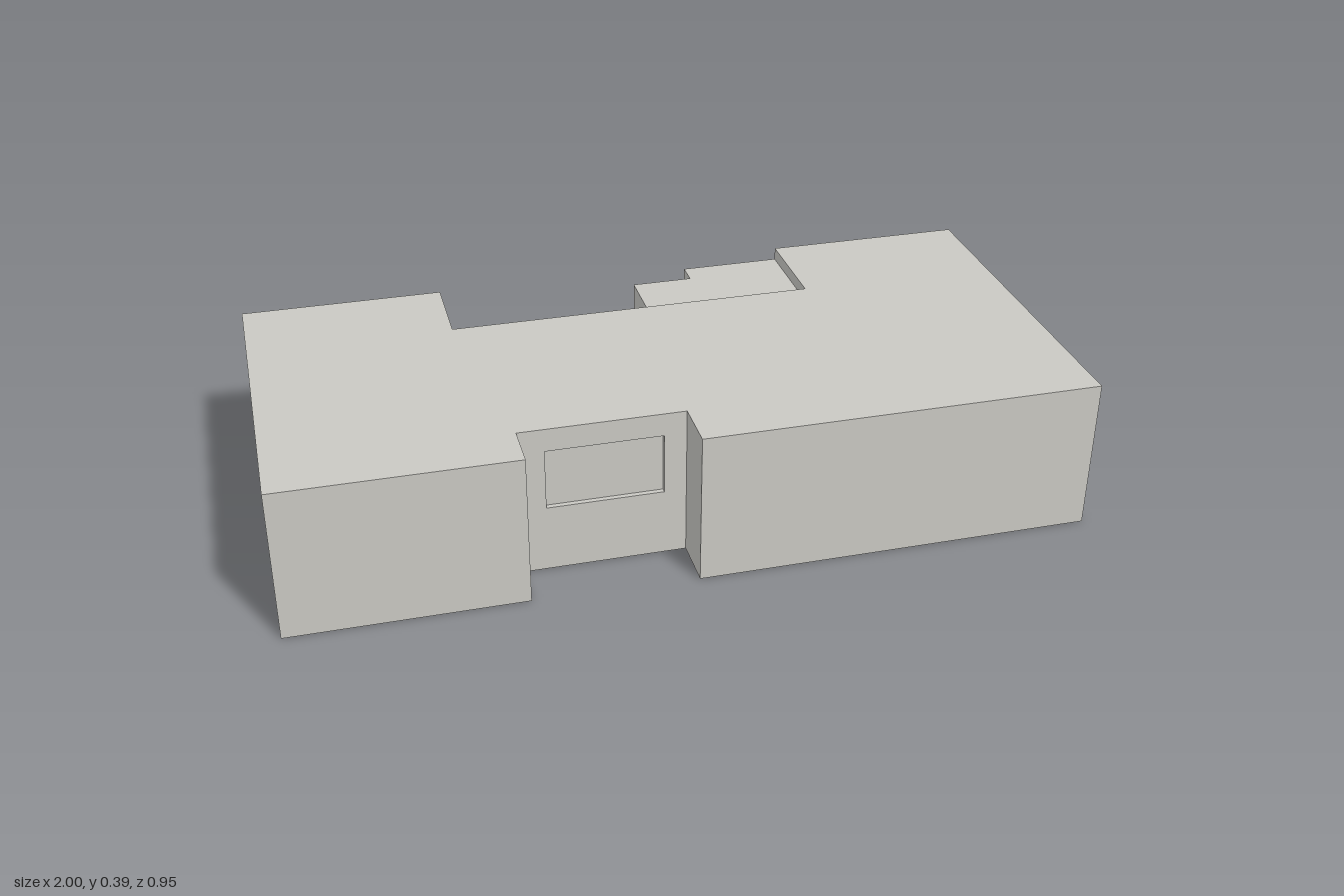
import * as THREE from 'three';

const HEIGHT = 0.393, LOW = 0.36, DEPTH = 0.013;

// Footprint corners (x, z), walked so that each wall faces outwards
const MAIN = [
  [-1, 0.46], [-0.415, 0.46], [-0.415, 0.34], [-0.005, 0.34], [-0.005, 0.473], [1, 0.473],
  [1, -0.477], [0.475, -0.477], [0.475, -0.212], [-0.48, -0.212], [-0.48, -0.435], [-1, -0.435],
];
const ANNEX = [
  [0.05, -0.212], [0.475, -0.212], [0.475, -0.477], [0.21, -0.477], [0.21, -0.415], [0.05, -0.415],
];

// Recessed openings by wall index: start and end along the wall's axis, bottom, top
const OPENINGS = {
  1: [['sideWindow', 0.447, 0.385, 0.17, 0.325]],
  2: [['entranceWindow', -0.35, -0.06, 0.175, 0.333]],
  5: [['frontWindow', 0.305, 0.09, 0.12, 0.37], ['backWindow', -0.143, -0.403, 0.107, 0.36]],
  8: [['middleDoor', 0.045, -0.055, 0.01, 0.315], ['cornerDoor', -0.36, -0.473, 0.01, 0.3]],
  11: [['wideWindow', -0.42, 0.275, 0.125, 0.36]],
};

export function createModel() {
  const plaster = new THREE.MeshStandardMaterial({ color: 0xc9c8c3 });
  plaster.name = 'plaster';
  const model = new THREE.Group();
  model.name = 'building';

  const add = (parent, name, geometry) => {
    const mesh = new THREE.Mesh(geometry, plaster);
    mesh.name = name;
    parent.add(mesh);
    return mesh;
  };

  const rectangle = (Type, x0, x1, y0, y1) => new Type([
    new THREE.Vector2(x0, y0), new THREE.Vector2(x1, y0),
    new THREE.Vector2(x1, y1), new THREE.Vector2(x0, y1),
  ]);

  // Horizontal slab face over a footprint, facing up or down
  const slab = (parent, name, outline, y, up) => {
    const s = up ? -1 : 1;
    const shape = new THREE.Shape(outline.map(([x, z]) => new THREE.Vector2(x, s * z)));
    add(parent, name, new THREE.ShapeGeometry(shape).rotateX(s * Math.PI / 2)).position.y = y;
  };

  // One thin wall from a to b, with a pane set back in each opening
  const wall = (parent, a, b, height, openings = []) => {
    const dx = b[0] - a[0], dz = b[1] - a[1];
    const origin = Math.abs(dx) > Math.abs(dz) ? a[0] : a[1];
    const group = new THREE.Group();
    group.name = 'wall';
    group.position.set(a[0], 0, a[1]);
    group.rotation.y = Math.atan2(-dz, dx);
    const shape = rectangle(THREE.Shape, 0, Math.hypot(dx, dz), 0, height);
    for (const [name, start, end, y0, y1] of openings) {
      const u0 = Math.abs(start - origin), u1 = Math.abs(end - origin);
      shape.holes.push(rectangle(THREE.Path, u0, u1, y0, y1));
      const pane = new THREE.PlaneGeometry(u1 - u0, y1 - y0);
      add(group, name, pane).position.set((u0 + u1) / 2, (y0 + y1) / 2, -DEPTH);
    }
    const panel = new THREE.ExtrudeGeometry(shape, { depth: DEPTH, bevelEnabled: false });
    add(group, 'wallPanel', panel.translate(0, 0, -DEPTH));
    parent.add(group);
  };

  // A closed block: walls, roof and floor
  const block = (name, outline, height, openings = {}) => {
    const group = new THREE.Group();
    group.name = name;
    outline.forEach((a, i) => wall(group, a, outline[(i + 1) % outline.length], height, openings[i]));
    slab(group, 'roof', outline, height, true);
    slab(group, 'floor', outline, 0, false);
    model.add(group);
  };

  block('mainBuilding', MAIN, HEIGHT, OPENINGS);
  // Lower annex in the back corner
  block('annex', ANNEX, LOW);

  return model;
}
